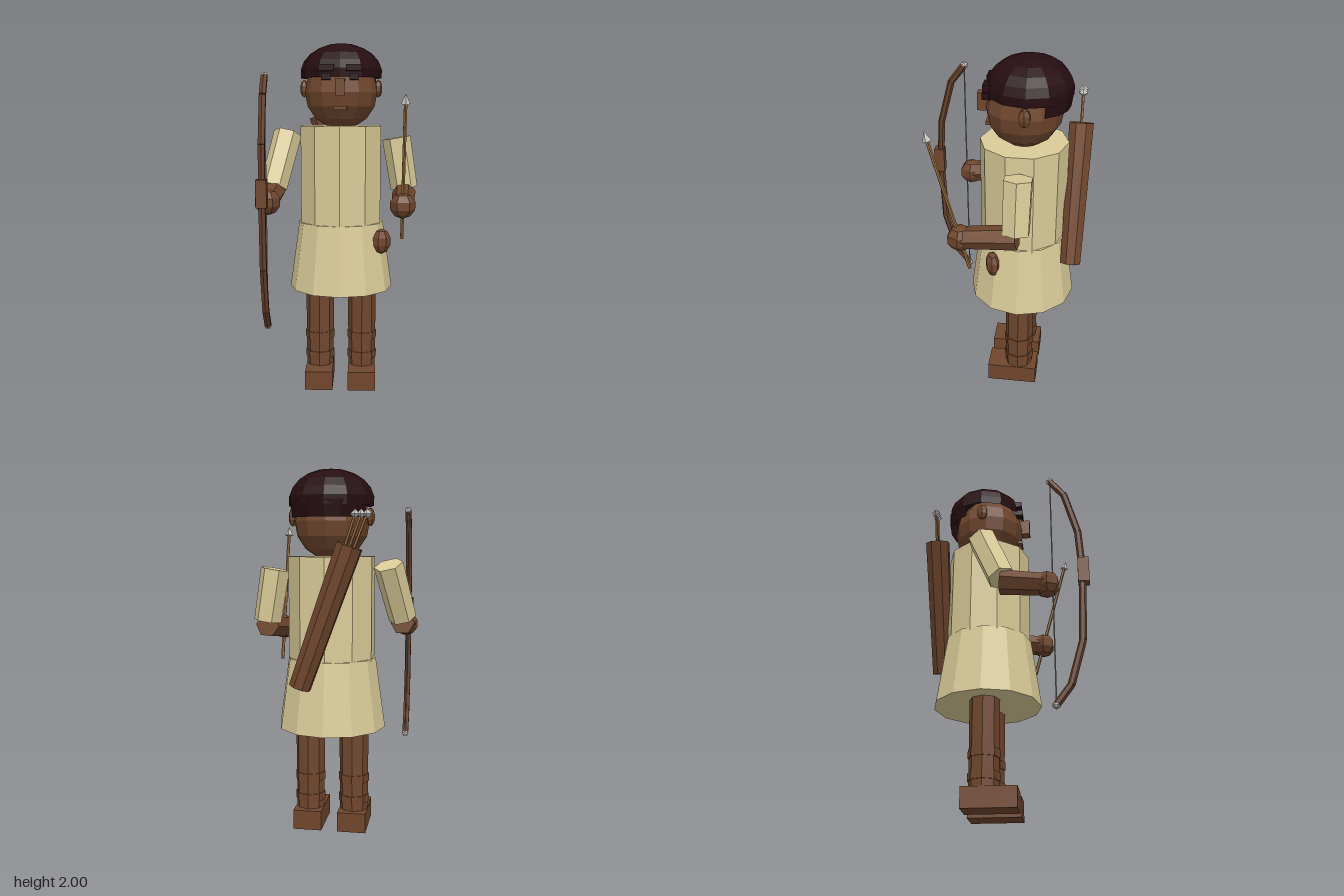
import * as THREE from 'three';

const mat = (name, color) => {
  const m = new THREE.MeshStandardMaterial({ color, flatShading: true });
  m.name = name;
  return m;
};
const V = (x, y, z) => new THREE.Vector3(x, y, z);

export function createModel() {
  const skin = mat('skin', 0x70472e);
  const leather = mat('leather', 0x70462d);
  const cloth = mat('tunicCloth', 0xdacb98);
  const hairMat = mat('hair', 0x260d11);
  hairMat.side = THREE.DoubleSide;
  const bowWood = mat('bowWood', 0x65402a);
  const shaftWood = mat('arrowWood', 0x98703f);
  const metal = mat('paleMetal', 0xc9c8c2);
  const stringMat = mat('bowString', 0x8c8c88);

  const model = new THREE.Group();
  model.name = 'archer';
  const Z = -0.11; // body axis

  const add = (name, geo, material, pos = V(0, 0, 0), scale = null) => {
    const mesh = new THREE.Mesh(geo, material);
    mesh.name = name;
    mesh.position.copy(pos);
    if (scale) mesh.scale.copy(scale);
    model.add(mesh);
    return mesh;
  };
  const box = (name, material, x0, x1, y0, y1, z0, z1) =>
    add(name, new THREE.BoxGeometry(x1 - x0, y1 - y0, z1 - z0), material,
      V((x0 + x1) / 2, (y0 + y1) / 2, (z0 + z1) / 2));
  // Tapered prism running from point a to point b
  const rod = (name, material, a, b, ra, rb, sides, turn = 0) => {
    const dir = b.clone().sub(a);
    const geo = new THREE.CylinderGeometry(rb, ra, dir.length(), sides, 1, false, turn);
    const mesh = add(name, geo, material, a.clone().add(b).multiplyScalar(0.5));
    mesh.quaternion.setFromUnitVectors(V(0, 1, 0), dir.normalize());
    return mesh;
  };

  // Tunic
  rod('tunicBody', cloth, V(0, 0.95, Z), V(0, 1.535, Z), 0.24, 0.24, 10);
  rod('tunicSkirt', cloth, V(0, 0.59, Z), V(0, 0.98, Z), 0.3, 0.245, 12);

  // Head and hair
  add('head', new THREE.SphereGeometry(0.208, 12, 8), skin, V(0, 1.722, Z));
  add('hairCap', new THREE.SphereGeometry(1, 12, 6, 0, Math.PI * 2, 0, Math.PI * 0.55),
    hairMat, V(0, 1.83, -0.135), V(0.235, 0.17, 0.23));
  add('hairBack', new THREE.CylinderGeometry(0.228, 0.215, 0.09, 6, 1, true, Math.PI * 0.64, Math.PI * 0.72),
    hairMat, V(0, 1.785, -0.135));

  // Face
  box('nose', skin, -0.026, 0.026, 1.7, 1.795, 0.05, 0.138);
  box('mouth', skin, -0.037, 0.037, 1.625, 1.645, 0.03, 0.093);
  for (const s of [-1, 1]) {
    const brow = box('eyebrow', hairMat, -0.043, 0.043, 1.835, 1.87, 0.05, 0.095);
    brow.position.x = 0.077 * s;
    const eye = box('eye', hairMat, -0.025, 0.025, 1.787, 1.822, 0.04, 0.1);
    eye.position.x = 0.077 * s;
    add('ear', new THREE.SphereGeometry(1, 6, 5), skin, V(0.213 * s, 1.745, -0.13), V(0.024, 0.05, 0.034));
  }

  // Legs, boot bands and feet
  for (const s of [-1, 1]) {
    const x = 0.125 * s;
    rod('leg', skin, V(x, 0.1, Z), V(x, 0.65, Z), 0.08, 0.083, 8);
    for (const y of [0.15, 0.27])
      rod('bootBand', leather, V(x, y, Z), V(x, y + 0.045, Z), 0.086, 0.086, 8);
    box('foot', leather, x - 0.08, x + 0.08, 0, 0.11, -0.22, 0.07);
  }

  // Arms: sleeve, forearm, hand
  const arms = [
    [V(-0.31, 1.49, -0.115), V(-0.382, 1.19, 0.005), V(-0.385, 1.135, 0.25)],
    [V(0.32, 1.465, -0.115), V(0.368, 1.175, -0.112), V(0.345, 1.11, 0.19)],
  ];
  for (const [shoulder, elbow, hand] of arms) {
    rod('sleeve', cloth, elbow, shoulder, 0.078, 0.082, 6, Math.PI / 6);
    const start = elbow.clone().add(V(0, -0.025, -0.005));
    rod('forearm', skin, start, hand, 0.068, 0.06, 6, Math.PI / 6);
    add('hand', new THREE.SphereGeometry(1, 6, 5), skin, hand, V(0.072, 0.072, 0.072));
  }

  // Bow limbs, tips, grip and string
  const bx = -0.388;
  const path = [[1.8, 0.28], [1.7, 0.358], [1.45, 0.425], [1.2, 0.44], [0.8, 0.425], [0.56, 0.358], [0.455, 0.28]]
    .map(([y, z]) => V(bx, y, z));
  for (let i = 0; i < path.length - 1; i++)
    rod('bowLimb', bowWood, path[i], path[i + 1], 0.02, 0.02, 6);
  for (const tip of [path[0], path[6]])
    add('bowTip', new THREE.IcosahedronGeometry(0.022, 0), metal, tip);
  box('bowGrip', leather, bx - 0.028, bx + 0.028, 1.13, 1.275, 0.415, 0.475);
  rod('bowString', stringMat, path[6], path[0], 0.004, 0.004, 5);

  // Arrow held in the left hand
  const neck = V(0.345, 1.655, 0.335);
  rod('heldArrowShaft', shaftWood, V(0.345, 0.92, 0.14), neck, 0.01, 0.01, 6);
  rod('heldArrowHead', metal, neck, V(0.345, 1.705, 0.348), 0.025, 0.001, 4);

  // Quiver slung across the back, with spare arrows
  const qBottom = V(0.125, 0.855, -0.393), qTop = V(-0.14, 1.592, -0.405);
  rod('quiver', leather, qBottom, qTop, 0.06, 0.071, 8, Math.PI / 8);
  for (const d of [-0.03, 0, 0.03]) {
    const end = V(-0.198 + d, 1.75, -0.405);
    rod('spareArrow', shaftWood, V(-0.13 + d * 0.8, 1.56, -0.405), end, 0.008, 0.008, 5);
    add('spareArrowTip', new THREE.OctahedronGeometry(0.025, 0), metal, end);
  }

  // Belt pouch
  const pouch = add('pouch', new THREE.SphereGeometry(1, 7, 5), leather, V(0.236, 0.883, 0.033), V(0.056, 0.073, 0.038));
  pouch.rotation.y = 0.4;

  return model;
}
